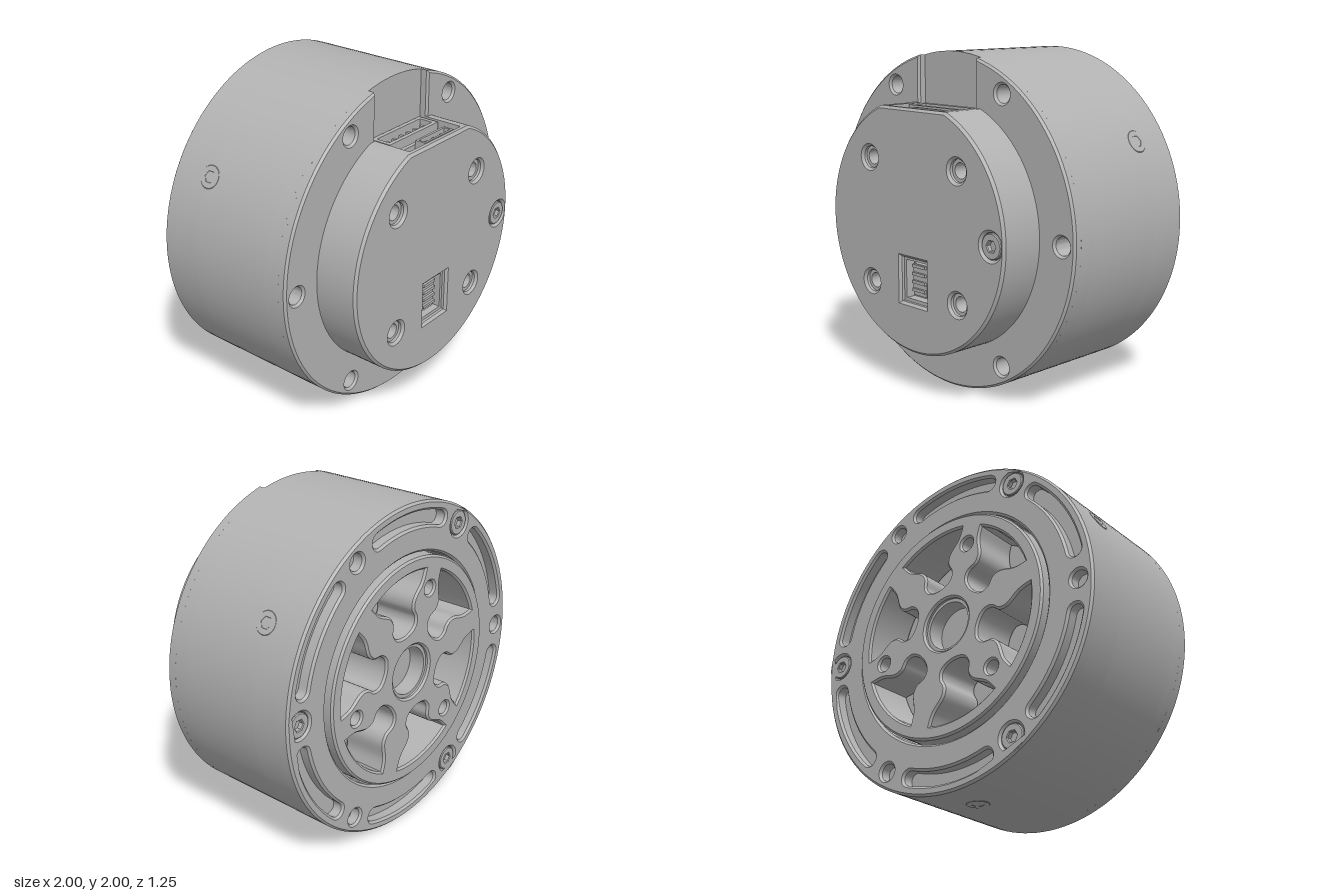
import * as THREE from 'three';
import { toCreasedNormals } from 'three/addons/utils/BufferGeometryUtils.js';

const metal = new THREE.MeshStandardMaterial({ color: 0xb2b2b2 });
metal.name = 'grey metal';

const TAU = Math.PI * 2;
const rad = (d) => (d * Math.PI) / 180;
const polar = (r, a) => new THREE.Vector2(r * Math.cos(a), r * Math.sin(a));

// Points along an arc, and closed outlines made from them
function arc(r, a0, a1, n, cx = 0, cy = 0) {
  const pts = [];
  for (let i = 0; i <= n; i++) {
    const p = polar(r, a0 + ((a1 - a0) * i) / n);
    pts.push(new THREE.Vector2(p.x + cx, p.y + cy));
  }
  return pts;
}
const circle = (r, cx = 0, cy = 0, n = 32) => arc(r, 0, TAU * (1 - 1 / n), n - 1, cx, cy);
const disc = (r) => circle(r, 0, 0, 128);
const rect = (x0, y0, x1, y1) =>
  [[x0, y0], [x1, y0], [x1, y1], [x0, y1]].map(([x, y]) => new THREE.Vector2(x, y));

// Extrusion between two z levels with optional chamfer
function slab(name, outline, holes, z0, z1, bevel = 0) {
  const shape = new THREE.Shape(outline);
  shape.holes = holes.map((h) => new THREE.Path(h));
  const geo = new THREE.ExtrudeGeometry(shape, {
    depth: z1 - z0 - 2 * bevel,
    bevelEnabled: bevel > 0,
    bevelThickness: bevel,
    bevelSize: bevel,
    bevelOffset: -bevel,
    bevelSegments: 1,
  });
  geo.translate(0, 0, z0 + bevel);
  const mesh = new THREE.Mesh(toCreasedNormals(geo, 0.5), metal);
  mesh.name = name;
  return mesh;
}

function box(name, x0, x1, y0, y1, z0, z1) {
  const mesh = new THREE.Mesh(new THREE.BoxGeometry(x1 - x0, y1 - y0, z1 - z0), metal);
  mesh.position.set((x0 + x1) / 2, (y0 + y1) / 2, (z0 + z1) / 2);
  mesh.name = name;
  return mesh;
}

// Socket screw whose head faces along dir
function screw(name, r, pos, dir) {
  const g = new THREE.Group();
  g.name = name;
  g.add(slab('screwHead', circle(r), [circle(r * 0.45, 0, 0, 6)], -0.04, 0, 0.005));
  g.add(slab('socketFloor', circle(r * 0.6), [], -0.06, -0.03));
  g.position.copy(pos);
  g.lookAt(pos.clone().add(dir));
  return g;
}

// Curved slot with round ends
function slot(r, mid, half, w) {
  const a = mid - half, b = mid + half;
  const p = polar(r, a), q = polar(r, b);
  return [
    ...arc(r + w, a, b, 20),
    ...arc(w, b, b + Math.PI, 8, q.x, q.y).slice(1),
    ...arc(r - w, b, a, 20).slice(1),
    ...arc(w, a + Math.PI, a + TAU, 8, p.x, p.y).slice(1, -1),
  ];
}

// Tulip-shaped rotor opening centred on an angle
function petal(angle) {
  const side = [[0.565, 0.235], [0.5, 0.19], [0.44, 0.11], [0.38, 0.085], [0.32, 0.1], [0.27, 0.075]];
  const ctrl = [
    ...side.map(([u, v]) => new THREE.Vector2(u, v)),
    new THREE.Vector2(0.25, 0),
    ...side.slice().reverse().map(([u, v]) => new THREE.Vector2(u, -v)),
  ];
  const wave = new THREE.SplineCurve(ctrl).getPoints(48);
  const t = Math.atan2(0.235, 0.565);
  const outer = arc(0.612, -t, t, 12).slice(1, -1);
  return [...wave, ...outer].map((p) => p.rotateAround(new THREE.Vector2(), angle));
}

// Hollow connector opening upward
function connector(name, x0, x1, z0, z1, top, wall, pins) {
  const g = new THREE.Group();
  g.name = name;
  const shell = slab('shell', rect(x0, -z1, x1, -z0),
    [rect(x0 + wall, -z1 + wall, x1 - wall, -z0 - wall)], 0.5, top);
  shell.rotation.x = -Math.PI / 2;
  g.add(shell, box('connectorFloor', x0, x1, 0.5, top - 0.1, z0, z1));
  for (let i = 0; i < pins; i++) {
    const x = x0 + ((x1 - x0) * (i + 1)) / (pins + 1), z = (z0 + z1) / 2;
    g.add(box('pin', x - 0.011, x + 0.011, 0.52, top - 0.02, z - 0.011, z + 0.011));
  }
  return g;
}

export function createModel() {
  const model = new THREE.Group();
  model.name = 'actuator';
  const body = new THREE.Group();
  body.name = 'body';
  body.position.y = 1;
  model.add(body);

  // Housing, front flange with the cable notch at the top
  const boltHoles = [0, 60, 120, 180, 240, 300].map((d) => {
    const p = polar(0.905, rad(d));
    return circle(0.052, p.x, p.y);
  });
  const tn = Math.acos(0.24);
  const notched = [...arc(1, Math.PI - tn, TAU + tn, 120),
    new THREE.Vector2(0.24, 0.6), new THREE.Vector2(-0.24, 0.6)];
  body.add(slab('frontFlange', notched, boltHoles, 0.27, 0.35, 0.013));
  body.add(slab('housingFront', disc(1), boltHoles, 0.2, 0.3));
  body.add(slab('housingCore', disc(1), [], -0.33, 0.2));
  body.add(slab('housingRear', disc(1), [disc(0.705)], -0.52, -0.33));

  // Rear flange with curved slots, holes and screws
  const rearHoles = [disc(0.705)];
  for (let i = 0; i < 6; i++) {
    rearHoles.push(slot(0.9, rad(30 + 60 * i), rad(18), 0.043));
    const p = polar(0.905, rad(60 * i));
    rearHoles.push(circle(i % 2 ? 0.05 : 0.077, p.x, p.y));
    if (i % 2 === 0) {
      body.add(screw('rearScrew', 0.073, new THREE.Vector3(p.x, p.y, -0.585), new THREE.Vector3(0, 0, -1)));
    }
  }
  body.add(slab('rearFlange', disc(1), rearHoles, -0.59, -0.5, 0.013));

  // Rotor with six openings, three small holes and a hollow hub
  const rotorHoles = [circle(0.165, 0, 0, 48)];
  for (let i = 0; i < 6; i++) rotorHoles.push(petal(rad(17 + 60 * i)));
  for (let i = 0; i < 3; i++) {
    const p = polar(0.5, rad(107 + 120 * i));
    rotorHoles.push(circle(0.042, p.x, p.y));
  }
  body.add(slab('rotor', disc(0.692), rotorHoles, -0.625, -0.33, 0.012));
  body.add(slab('hubLip', circle(0.168, 0, 0, 48), [circle(0.145, 0, 0, 48)], -0.6, -0.4));
  body.add(slab('hubFloor', circle(0.16, 0, 0, 48), [], -0.5, -0.4));

  // Set screws around the side
  for (const d of [30, 150, 270]) {
    const p = polar(1, rad(d));
    const dir = new THREE.Vector3(p.x, p.y, 0);
    const pos = dir.clone().multiplyScalar(1.001).setZ(-0.32);
    body.add(screw('setScrew', 0.07, pos, dir));
  }

  // Front cover with a flat top and a connector pocket
  const t0 = Math.asin(0.69 / 0.745);
  const dShape = arc(0.745, Math.PI - t0, TAU + t0, 110);
  const pocket = rect(-0.24, 0.5, 0.24, 0.69).map((p) => p);
  const pocketed = [...dShape, pocket[2], pocket[1], pocket[0], pocket[3]];
  const corners = [[1, 1], [-1, 1], [-1, -1], [1, -1]];
  const coverHoles = (r) => corners.map(([x, y]) => circle(r, x * 0.377, y * 0.377));
  const screwHoles = [-0.64, 0.64].map((x) => circle(0.077, x, 0));
  body.add(slab('coverBase', pocketed,
    [...coverHoles(0.045), rect(-0.092, -0.43, 0.092, -0.2)], 0.3, 0.59));
  body.add(slab('coverFace', dShape,
    [...coverHoles(0.066), ...screwHoles, rect(-0.112, -0.45, 0.112, -0.18)], 0.57, 0.622, 0.015));
  for (const x of [-0.64, 0.64]) {
    body.add(screw('coverScrew', 0.073, new THREE.Vector3(x, 0, 0.617), new THREE.Vector3(0, 0, 1)));
  }

  // Switch block in the window
  body.add(box('switchBlock', -0.06, 0.06, -0.41, -0.22, 0.5, 0.565));
  body.add(box('switchFloor', -0.095, 0.095, -0.435, -0.195, 0.48, 0.53));
  for (let i = 0; i < 4; i++) {
    const y = -0.385 + i * 0.048;
    body.add(box('switchLever', -0.055, 0.055, y, y + 0.018, 0.55, 0.58));
  }

  // Connectors in the top pocket
  body.add(connector('mainConnector', -0.225, 0.225, 0.305, 0.44, 0.685, 0.025, 6));
  body.add(connector('smallConnector', -0.08, 0.19, 0.505, 0.572, 0.685, 0.014, 3));
  body.add(box('circuitBoard', -0.24, 0.24, 0.5, 0.66, 0.48, 0.505));
  return model;
}
